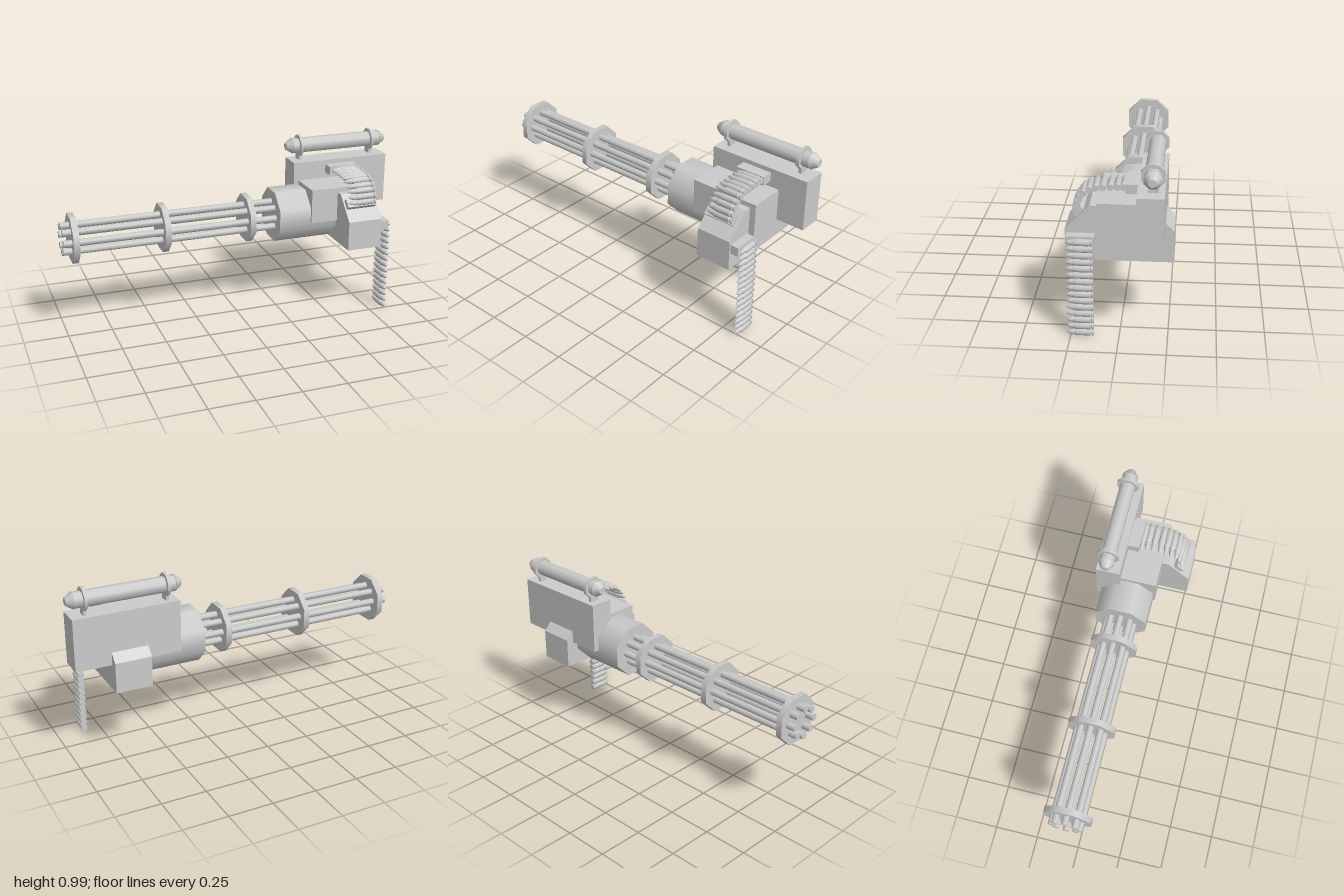
import * as THREE from 'three';
import { toCreasedNormals } from 'three/addons/utils/BufferGeometryUtils.js';

const mat = new THREE.MeshStandardMaterial({ color: 0xcccccc });
const SIDES = 8;

export function createModel() {
  const root = new THREE.Group();

  const add = (name, geo, x = 0, y = 0, z = 0, parent = root) => {
    const mesh = new THREE.Mesh(geo, mat);
    mesh.name = name;
    mesh.position.set(x, y, z);
    parent.add(mesh);
    return mesh;
  };
  // Box given by its limits on each axis
  const box = (name, x0, x1, y0, y1, z0, z1) =>
    add(name, new THREE.BoxGeometry(x1 - x0, y1 - y0, z1 - z0), (x0 + x1) / 2, (y0 + y1) / 2, (z0 + z1) / 2);
  // Octagonal rod along x with flat top; radii measured to the flats
  const rod = (name, x0, x1, r0, r1, y, z, parent = root) => {
    const k = 1 / Math.cos(Math.PI / SIDES);
    const geo = new THREE.CylinderGeometry(r0 * k, r1 * k, x1 - x0, SIDES);
    geo.rotateY(Math.PI / SIDES).rotateZ(Math.PI / 2);
    return add(name, geo, (x0 + x1) / 2, y, z, parent);
  };

  // Rotary barrel cluster
  const by = 0.565, bz = -0.05;
  const barrels = new THREE.Group();
  barrels.name = 'barrelCluster';
  root.add(barrels);
  for (let i = 0; i < 8; i++) {
    const a = (i * Math.PI) / 4;
    rod('barrel', -1, 0.24, 0.0175, 0.0175, by + 0.078 * Math.sin(a), bz + 0.078 * Math.cos(a), barrels);
  }
  for (const x of [-0.935, -0.425, 0.075]) rod('barrelClamp', x - 0.017, x + 0.017, 0.13, 0.13, by, bz, barrels);
  rod('barrelHousing', 0.23, 0.6, 0.147, 0.147, by, bz);

  // Body blocks
  box('receiver', 0.42, 0.82, 0.54, 0.737, -0.11, 0.11);
  box('rearBlock', 0.39, 0.985, 0.555, 0.845, -0.23, -0.095);

  // Cross block with sloped shoulders, profile in z and y
  const profile = new THREE.Shape(
    [[0.275, 0.41], [0.275, 0.58], [0.15, 0.71], [-0.15, 0.71], [-0.275, 0.58], [-0.275, 0.41]]
      .map(([z, y]) => new THREE.Vector2(-z, y)));
  const cross = new THREE.ExtrudeGeometry(profile, { depth: 0.205, bevelEnabled: false });
  cross.rotateY(Math.PI / 2);
  add('crossBlock', cross, 0.58, 0, 0);

  // Tube on top with its mounts
  const ty = 0.929, tz = -0.173;
  rod('topTube', 0.4, 0.96, 0.041, 0.041, ty, tz);
  rod('tubeEndLeft', 0.96, 1, 0.02, 0.044, ty, tz).rotation.x = 0;
  rod('tubeEndRight', 0.365, 0.405, 0.044, 0.02, ty, tz);
  // Tapers narrow toward the outside ends
  for (const m of root.children) if (m.name.startsWith('tubeEnd')) m.rotation.y = Math.PI;
  for (const x of [0.45, 0.905]) {
    rod('tubeRing', x - 0.009, x + 0.009, 0.059, 0.059, ty, tz);
    box('tubeStand', x - 0.009, x + 0.009, 0.84, 0.885, tz - 0.025, tz + 0.025);
  }

  // Cartridge along +z, base at 0, tip at the given length
  const cartridge = (len) => {
    const pts = [[0, 0], [0.018, 0], [0.018, 0.05], [0.014, 0.06], [0.014, 0.1], [0.0185, 0.12],
      [0.0185, 0.65], [0.0145, 0.69], [0.0145, 0.78], [0.01, 0.9], [0, 1]]
      .map(([r, t]) => new THREE.Vector2(r, t * len));
    const geo = new THREE.LatheGeometry(pts, SIDES);
    geo.rotateX(Math.PI / 2);
    return toCreasedNormals(geo, 0.85);
  };

  // Hanging belt and the port it leaves
  box('hangingBeltPort', 0.785, 0.832, 0.508, 0.56, 0.123, 0.265);
  const hanging = new THREE.Group();
  hanging.name = 'hangingBelt';
  root.add(hanging);
  const shortRound = cartridge(0.14);
  for (let i = 0; i < 15; i++) add('cartridge', shortRound, 0.842, 0.0185 + i * 0.0368, 0.131, hanging);

  // Curved feed belt from the rear block to the sloped shoulder
  box('rearFeedPort', 0.59, 0.765, 0.77, 0.82, -0.1, -0.03);
  const port = add('shoulderFeedPort', new THREE.BoxGeometry(0.175, 0.03, 0.055), 0.677, 0.667, 0.208);
  port.rotation.x = Math.PI / 4;
  const feed = new THREE.Group();
  feed.name = 'feedBelt';
  root.add(feed);
  const longRound = cartridge(0.17).rotateY(-Math.PI / 2);
  const path = [[0.222, 0.675], [0.217, 0.707], [0.202, 0.738], [0.183, 0.762], [0.152, 0.783],
    [0.12, 0.793], [0.086, 0.796], [0.047, 0.799], [0.011, 0.801], [-0.02, 0.801]];
  for (const [z, y] of path) add('cartridge', longRound, 0.762, y, z, feed);

  return root;
}
